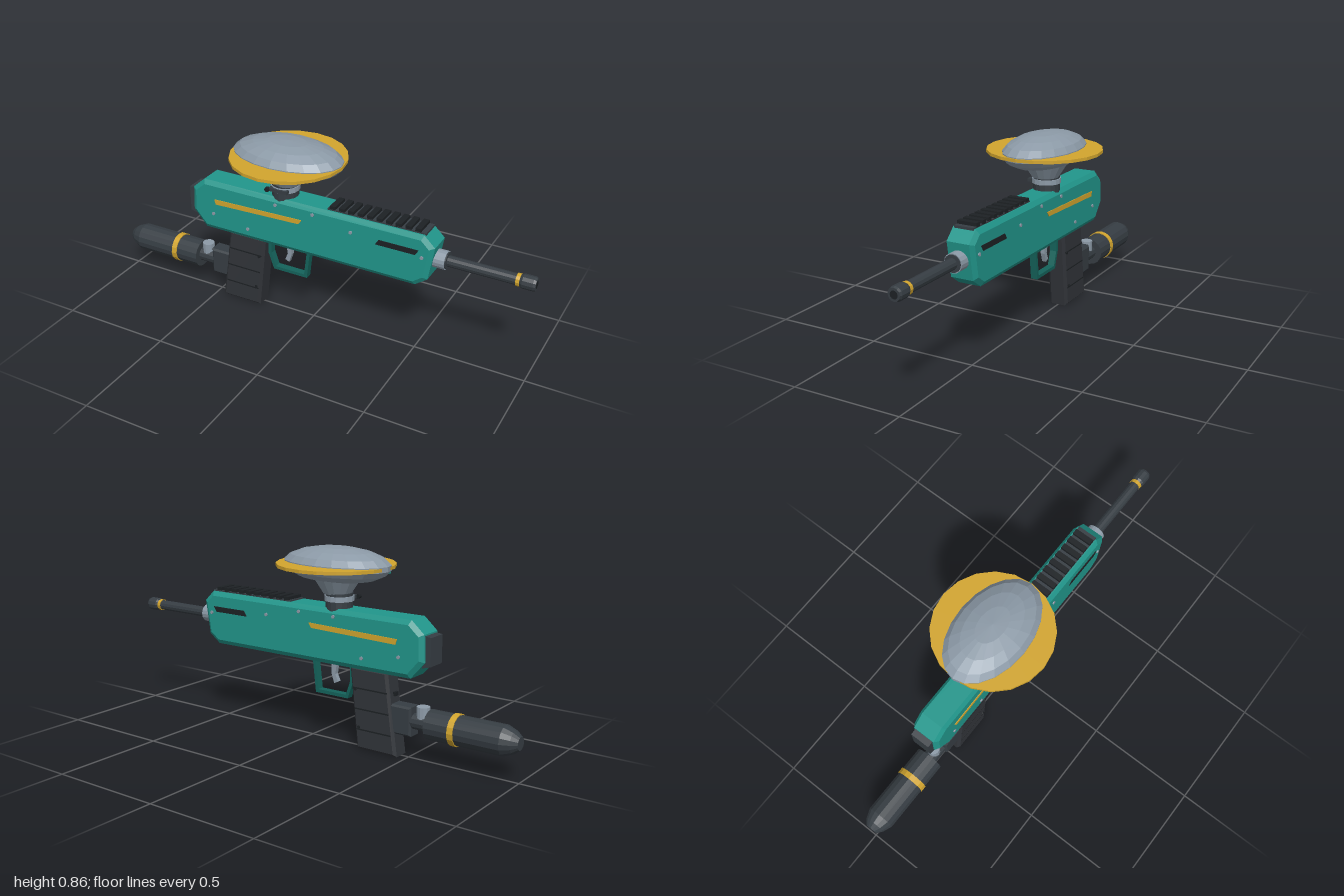
import * as THREE from 'three';

const mat = (name, color) => {
  const m = new THREE.MeshStandardMaterial({ color });
  m.name = name;
  return m;
};

// Faceted copy of a geometry
function flat(geo) {
  const g = geo.index ? geo.toNonIndexed() : geo;
  g.computeVertexNormals();
  return g;
}

export function createModel() {
  const group = new THREE.Group();
  const teal = mat('teal', 0x21968b);
  const darkTeal = mat('dark teal', 0x14635b);
  const dark = mat('dark grey', 0x363d43);
  const grip = mat('grip charcoal', 0x313439);
  const black = mat('black', 0x1d2124);
  const grey = mat('light grey', 0x8c9aa7);
  const gold = mat('gold', 0xd2a52e);

  const add = (name, geo, m, x = 0, y = 0, z = 0) => {
    const mesh = new THREE.Mesh(flat(geo), m);
    mesh.name = name;
    mesh.position.set(x, y, z);
    group.add(mesh);
    return mesh;
  };
  const box = (name, m, x0, x1, y0, y1, z0, z1) =>
    add(name, new THREE.BoxGeometry(x1 - x0, y1 - y0, z1 - z0), m, (x0 + x1) / 2, (y0 + y1) / 2, (z0 + z1) / 2);
  const polygon = (pts) => new THREE.Shape(pts.map((p) => new THREE.Vector2(...p)));
  // Side profile extruded to half width w, with a chamfer inside the outline
  const slab = (name, m, shape, w, size = 0, depth = size) => {
    const geo = new THREE.ExtrudeGeometry(shape, {
      depth: 2 * (w - depth), bevelEnabled: size > 0, bevelSegments: 1,
      bevelSize: size, bevelThickness: depth, bevelOffset: -size,
    });
    return add(name, geo.translate(0, 0, depth - w), m);
  };
  // Turned part along x; profile points are [x, radius] with x rising
  const turned = (name, m, y, pts, seg = 16) => {
    const geo = new THREE.LatheGeometry(pts.map(([a, r]) => new THREE.Vector2(r, a)), seg);
    return add(name, geo.rotateZ(-Math.PI / 2), m, 0, y, 0);
  };
  const rod = (name, m, y, x0, x1, r, seg) => turned(name, m, y, [[x0, 0], [x0, r], [x1, r], [x1, 0]], seg);
  const post = (name, m, x, y0, y1, r0, r1, seg = 16) =>
    add(name, new THREE.CylinderGeometry(r1, r0, y1 - y0, seg), m, x, (y0 + y1) / 2, 0);

  // Body shell and rear cap
  slab('body', teal, polygon([
    [-0.53, 0.355], [0.505, 0.355], [0.56, 0.395], [0.585, 0.55], [0.535, 0.598],
    [-0.53, 0.598], [-0.59, 0.545], [-0.595, 0.43],
  ]), 0.065, 0.02, 0.014);
  slab('rearCap', dark, polygon([[-0.58, 0.405], [-0.58, 0.54], [-0.618, 0.535], [-0.618, 0.415]]), 0.045);

  // Top rail with teeth
  box('railBase', dark, 0.09, 0.54, 0.59, 0.604, -0.045, 0.045);
  for (let i = 0; i < 10; i++) {
    const x = 0.1 + i * 0.0435;
    box('railTooth', black, x, x + 0.026, 0.6, 0.618, -0.045, 0.045);
  }

  // Side stripes, slots and screws on both sides
  for (const s of [1, -1]) {
    const stripe = slab('sideStripe', gold, polygon([[-0.465, 0.49], [-0.04, 0.503], [-0.025, 0.525], [-0.472, 0.514]]), 0.003);
    const slot = slab('sideSlot', black, polygon([[0.325, 0.506], [0.505, 0.506], [0.52, 0.53], [0.34, 0.53]]), 0.003);
    stripe.position.z = slot.position.z = s * 0.065;
    for (const [x, y] of [[-0.48, 0.44], [-0.3, 0.408], [-0.155, 0.566], [0.028, 0.566], [0.21, 0.53], [0.535, 0.5]]) {
      add('bodyScrew', new THREE.CylinderGeometry(0.008, 0.008, 0.008, 8).rotateX(Math.PI / 2), grey, x, y, s * 0.066);
    }
  }

  // Barrel
  rod('barrelCollar', grey, 0.478, 0.56, 0.622, 0.041);
  rod('barrelCollarFace', dark, 0.478, 0.61, 0.627, 0.037);
  rod('barrel', dark, 0.478, 0.6, 0.93, 0.024, 12);
  rod('barrelRing', gold, 0.478, 0.918, 0.934, 0.027, 12);
  turned('muzzle', dark, 0.478, [[0.934, 0], [0.934, 0.026], [0.945, 0.031], [0.99, 0.031], [1, 0.027], [1, 0]], 12);
  rod('bore', black, 0.478, 0.995, 1.0005, 0.017, 12);

  // Feed neck and clamp
  post('feedNeck', dark, -0.14, 0.585, 0.66, 0.06, 0.06);
  post('neckCollar', grey, -0.14, 0.626, 0.648, 0.065, 0.065);
  box('clampTab', dark, -0.185, -0.095, 0.63, 0.645, 0.05, 0.07);
  add('clampScrew', new THREE.CylinderGeometry(0.011, 0.011, 0.016, 8).rotateX(Math.PI / 2), black, -0.19, 0.637, 0.071);

  // Hopper: flattened oval bowl, funnel and wide rim disc
  const bowl = [[0, 0.705], [0.1, 0.708], [0.18, 0.722], [0.232, 0.744], [0.256, 0.768], [0.256, 0.79],
    [0.225, 0.816], [0.165, 0.838], [0.09, 0.851], [0, 0.855]];
  const hopper = add('hopper', new THREE.LatheGeometry(bowl.map((p) => new THREE.Vector2(...p)), 20), grey, -0.125, 0, 0);
  hopper.scale.z = 0.62;
  post('hopperFunnel', grey, -0.13, 0.655, 0.722, 0.06, 0.102);
  post('hopperRim', gold, -0.122, 0.772, 0.786, 0.256, 0.256, 20);
  box('hopperLatch', teal, -0.332, -0.308, 0.746, 0.767, 0.06, 0.1);

  // Grip with thin panel grooves and screws
  slab('grip', grip, polygon([[-0.463, 0], [-0.265, 0], [-0.225, 0.362], [-0.412, 0.362]]), 0.046, 0.012);
  for (const s of [1, -1]) {
    for (const y of [0.09, 0.18, 0.27]) {
      const x = -0.364 + y * 0.126;
      box('gripGroove', black, x - 0.085, x + 0.085, y - 0.003, y + 0.003, s * 0.046 - 0.0015, s * 0.046 + 0.0015);
    }
    for (const y of [0.1, 0.265]) {
      add('gripScrew', new THREE.CylinderGeometry(0.007, 0.007, 0.006, 8).rotateX(Math.PI / 2), black, -0.29 + y * 0.12, y, s * 0.046);
    }
  }
  box('gripSpur', black, -0.436, -0.41, 0.255, 0.272, -0.012, 0.012);

  // Trigger guard and trigger
  const guard = polygon([[-0.225, 0.36], [-0.225, 0.28], [-0.198, 0.204], [-0.028, 0.204], [-0.01, 0.36]]);
  guard.holes.push(new THREE.Path([
    [-0.21, 0.352], [-0.026, 0.352], [-0.042, 0.219], [-0.188, 0.219], [-0.21, 0.283],
  ].map((p) => new THREE.Vector2(...p))));
  slab('triggerGuard', darkTeal, guard, 0.016);
  slab('trigger', grey, polygon([
    [-0.137, 0.36], [-0.128, 0.3], [-0.142, 0.268], [-0.122, 0.258], [-0.108, 0.3], [-0.108, 0.36],
  ]), 0.01);

  // Air tank, valve and mounting block
  slab('tankMount', dark, polygon([[-0.525, 0.1], [-0.42, 0.1], [-0.41, 0.226], [-0.525, 0.226]]), 0.036, 0.008);
  rod('tankRegulator', dark, 0.163, -0.62, -0.51, 0.034, 12);
  post('tankValve', grey, -0.565, 0.17, 0.232, 0.028, 0.028, 12);
  turned('airTank', dark, 0.163, [
    [-1, 0], [-1, 0.028], [-0.975, 0.048], [-0.935, 0.064], [-0.6, 0.064], [-0.6, 0],
  ]);
  rod('tankRing', gold, 0.163, -0.736, -0.71, 0.068);

  return group;
}
